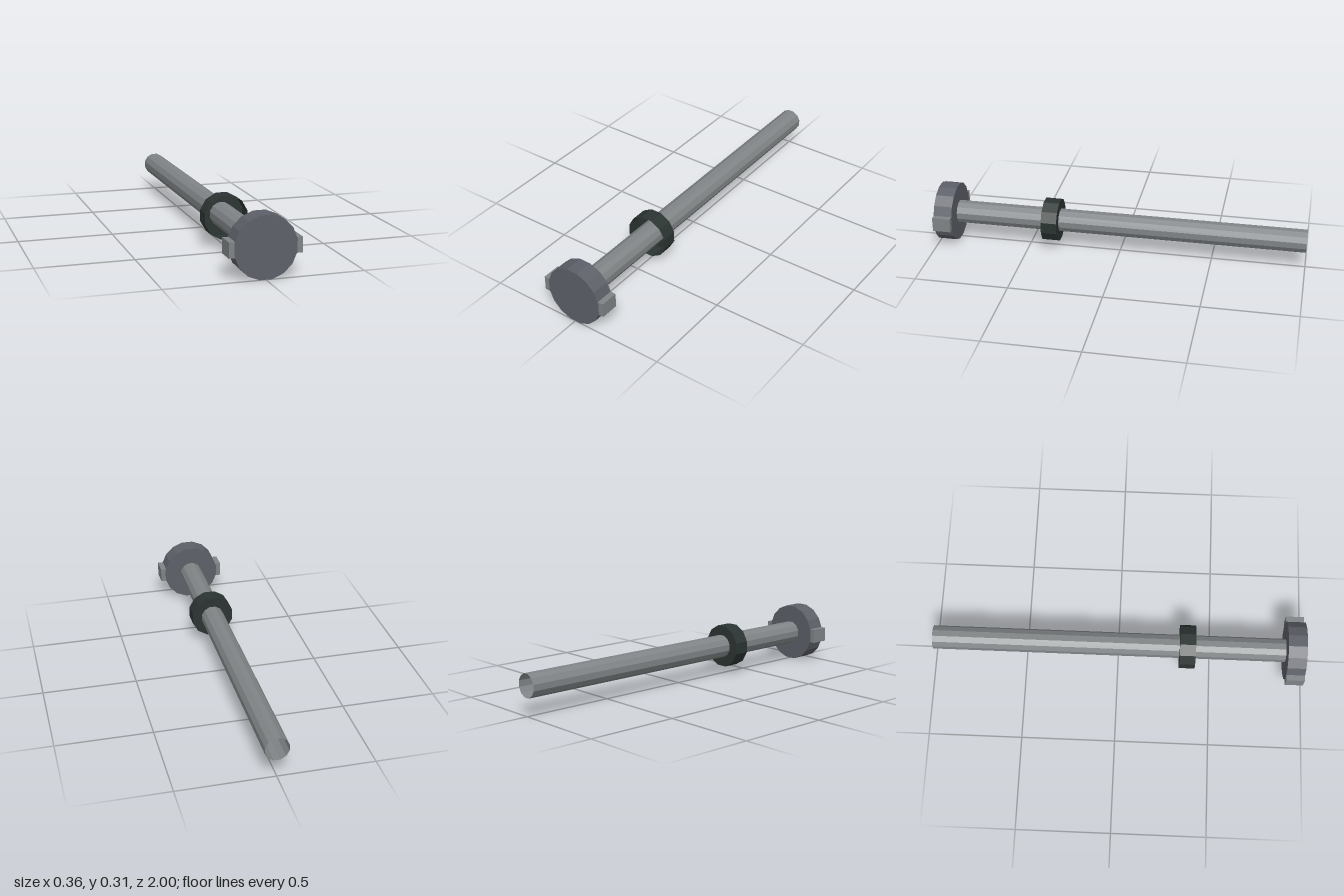
import * as THREE from 'three';

const AXIS_Y = 0.156;

export function createModel() {
  const model = new THREE.Group();
  model.name = 'flangedTube';

  const material = (name, color, extra = {}) => {
    const m = new THREE.MeshStandardMaterial({ color, flatShading: true, ...extra });
    m.name = name;
    return m;
  };
  const steel = material('steel grey', 0x808486, { side: THREE.DoubleSide });
  const slate = material('slate grey', 0x5d6068);
  const dark = material('dark green grey', 0x2b3432, { side: THREE.DoubleSide });

  const add = (name, geometry, mat, x, z) => {
    const mesh = new THREE.Mesh(geometry, mat);
    mesh.name = name;
    mesh.position.set(x, AXIS_Y, z);
    model.add(mesh);
  };

  // Faceted cylinder lying along z, with a flat facet on top
  const barrel = (radius, length, sides, open) =>
    new THREE.CylinderGeometry(radius, radius, length, sides, 1, open)
      .rotateY(Math.PI / sides)
      .rotateX(Math.PI / 2);

  // Long hollow shaft, open at the rear
  add('shaft', barrel(0.063, 1.92, 12, true), steel, 0, -0.04);

  // Solid front head
  add('head', barrel(0.158, 0.1, 16, false), slate, 0, 0.95);

  // Side lugs, rooted inside the head
  for (const side of [-1, 1]) {
    add(side > 0 ? 'leftLug' : 'rightLug',
      new THREE.BoxGeometry(0.082, 0.077, 0.098), steel, side * 0.141, 0.95);
  }

  // Collar: a cup open to the front, closed around the shaft at the rear
  add('collarRim', barrel(0.117, 0.085, 12, true), dark, 0, 0.3725);
  const disc = new THREE.RingGeometry(0.06, 0.117, 12).rotateZ(Math.PI / 12);
  add('collarBack', disc, dark, 0, 0.33);

  return model;
}
